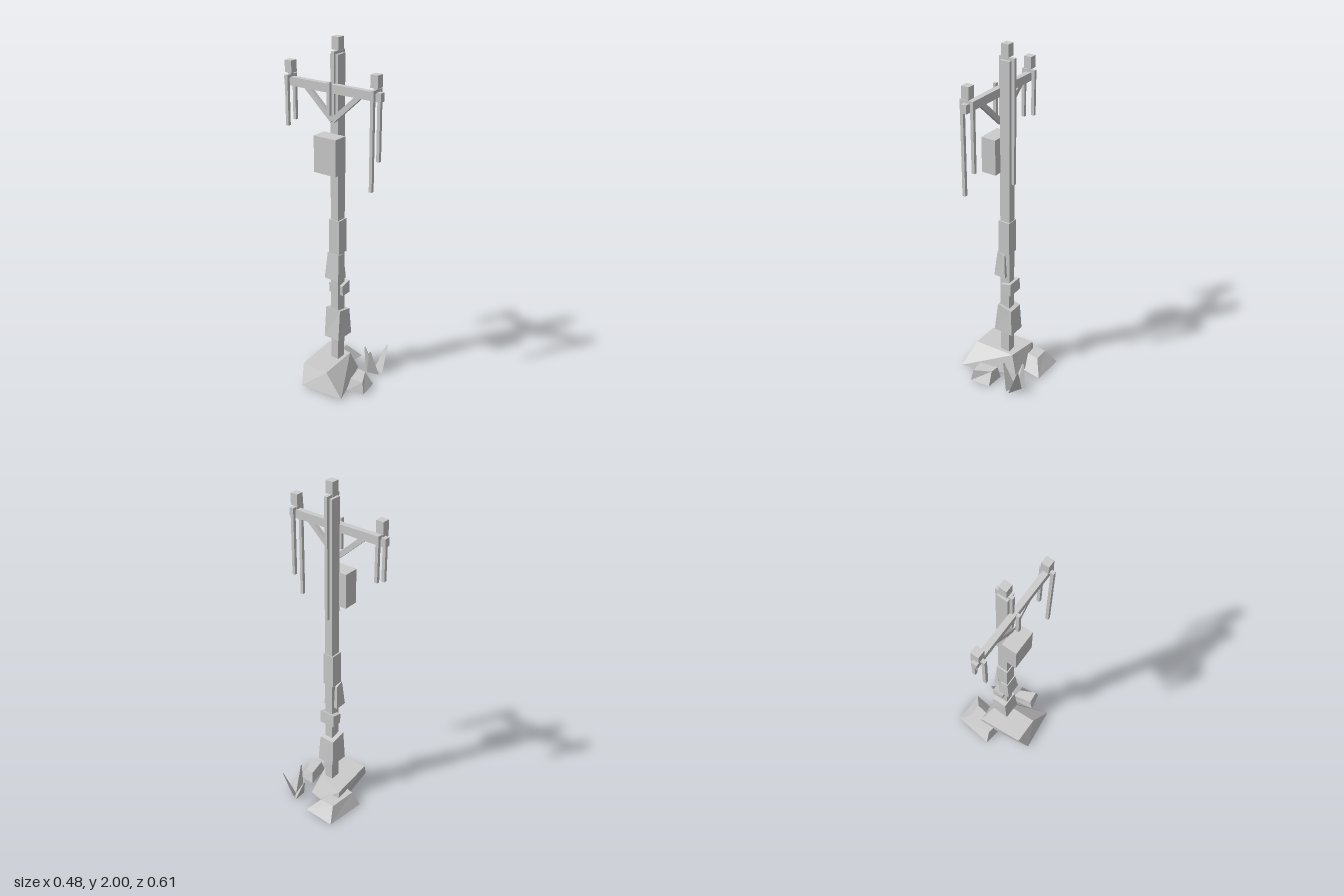
import * as THREE from 'three';

const material = new THREE.MeshStandardMaterial({ color: 0xcccccc, flatShading: true });

export function createModel() {
  const model = new THREE.Group();

  function add(name, geometry) {
    const mesh = new THREE.Mesh(geometry, material);
    mesh.name = name;
    model.add(mesh);
    return mesh;
  }

  // Box given by its extents along x, y and z
  function box(name, [x0, x1], [y0, y1], [z0, z1]) {
    const mesh = add(name, new THREE.BoxGeometry(x1 - x0, y1 - y0, z1 - z0));
    mesh.position.set((x0 + x1) / 2, (y0 + y1) / 2, (z0 + z1) / 2);
    return mesh;
  }

  // Closed faceted block between two rings of [x, z] corners,
  // ordered back left, front left, front right, back right; y may vary per corner
  function block(name, bottom, top, y0, y1) {
    const lift = (ring, y) => ring.map(([x, z, own = y]) => [x, own, z]);
    const b = lift(bottom, y0), t = lift(top, y1), n = b.length, pos = [];
    const tri = (...pts) => pts.forEach((p) => pos.push(...p));
    for (let i = 0; i < n; i++) {
      const j = (i + 1) % n;
      tri(b[i], b[j], t[j]);
      tri(b[i], t[j], t[i]);
      if (i > 0 && i < n - 1) {
        tri(t[0], t[i], t[j]);
        tri(b[0], b[j], b[i]);
      }
    }
    const geometry = new THREE.BufferGeometry();
    geometry.setAttribute('position', new THREE.Float32BufferAttribute(pos, 3));
    geometry.computeVertexNormals();
    return add(name, geometry);
  }

  // Pole, collar, crossarm and equipment box
  box('pole', [-0.03, 0.03], [0, 1.915], [-0.025, 0.025]);
  box('collar', [-0.036, 0.034], [0.81, 1.01], [-0.034, 0.034]);
  box('crossarm', [-0.061, -0.029], [1.722, 1.768], [-0.305, 0.305]);
  box('equipmentBox', [-0.115, -0.028], [1.3, 1.5], [-0.07, 0.07]);

  // Diagonal braces below the crossarm
  for (const side of [-1, 1]) {
    const from = new THREE.Vector2(0, 1.575), to = new THREE.Vector2(side * 0.175, 1.735);
    const brace = add('brace', new THREE.BoxGeometry(0.022, 0.028, from.distanceTo(to)));
    brace.position.set(-0.04, (from.y + to.y) / 2, to.x / 2);
    brace.rotation.x = -Math.atan2(to.y - from.y, to.x);
  }

  // Insulators on short stems
  for (const [x, y, z] of [[0, 1.935, 0], [-0.045, 1.79, -0.272], [-0.045, 1.79, 0.268]]) {
    box('insulator', [x - 0.022, x + 0.022], [y, y + 0.065], [z - 0.022, z + 0.022]);
    box('insulatorStem', [x - 0.01, x + 0.01], [y - 0.03, y], [z - 0.01, z + 0.01]);
  }

  // Hanging cables: x, z, top, bottom
  for (const [x, z, top, bottom] of [
    [-0.078, 0.27, 1.782, 1.255], [-0.016, 0.27, 1.782, 1.4],
    [-0.078, -0.27, 1.782, 1.51], [-0.016, -0.27, 1.782, 1.53],
    [-0.074, 0, 1.782, 1.61], [-0.036, 0, 1.93, 1.6], [0.04, 0, 1.93, 1.24],
  ]) {
    box('cable', [x - 0.009, x + 0.009], [bottom, top], [z - 0.009, z + 0.009]);
  }
  // Straps carrying the cables across the pole top and the crossarm
  box('poleTopStrap', [-0.045, 0.049], [1.912, 1.93], [-0.009, 0.009]);
  for (const z of [-0.27, 0.27]) {
    box('armStrap', [-0.087, -0.007], [1.764, 1.782], [z - 0.009, z + 0.009]);
  }

  // Irregular wrappings around the pole
  block('lowerWrap',
    [[-0.05, -0.058, 0.265], [-0.058, 0.047], [0.064, 0.05], [0.063, -0.056]],
    [[-0.037, -0.055, 0.455], [-0.037, 0.043, 0.455], [0.054, 0.043], [0.054, -0.05]], 0.272, 0.435);
  block('middleWrap',
    [[-0.012, -0.05], [-0.012, 0.045], [0.052, 0.045], [0.052, -0.053]],
    [[-0.015, -0.05, 0.605], [-0.015, 0.044, 0.605], [0.05, 0.044], [0.05, -0.05]], 0.545, 0.622);
  block('upperWrap',
    [[-0.058, -0.048], [-0.058, 0.046], [0.014, 0.046], [0.014, -0.048]],
    [[-0.042, -0.038, 0.812], [-0.042, 0.036, 0.812], [0.005, 0.036], [0.005, -0.038]], 0.655, 0.795);

  // Rocks around the foot
  block('mainRock',
    [[-0.24, -0.08], [-0.212, 0.182], [0.108, 0.072], [0.122, -0.005], [0.11, -0.132]],
    [[-0.183, -0.11], [-0.183, 0.055], [0.065, 0.043], [0.072, 0], [0.095, -0.132]], 0.015, 0.125);
  block('backRock',
    [[-0.003, -0.213], [-0.03, -0.02], [0.233, 0.01], [0.24, -0.182]],
    [[0.013, -0.165], [0.0, -0.085], [0.176, -0.06], [0.176, -0.148]], 0.005, 0.082);
  block('frontRock',
    [[-0.112, 0.148], [-0.09, 0.25], [0.03, 0.235], [0.038, 0.126]],
    [[-0.088, 0.158], [-0.08, 0.236], [0.016, 0.187], [0.022, 0.136]], 0.005, 0.076);

  // Splayed spikes sharing one root: two outer corners, tip and height
  const root = [0.165, 0.15];
  for (const [a, b, tip, height] of [
    [[0.205, 0.117], [0.128, 0.117], [0.165, 0.08], 0.13],
    [[0.11, 0.135], [0.132, 0.207], [0.09, 0.17], 0.168],
    [[0.155, 0.215], [0.196, 0.138], [0.213, 0.208], 0.17],
  ]) {
    const ring = [root, a, b];
    const small = ring.map(([x, z]) => [
      tip[0] + (x - (root[0] + a[0] + b[0]) / 3) * 0.12,
      tip[1] + (z - (root[1] + a[1] + b[1]) / 3) * 0.12,
    ]);
    block('spike', ring, small, 0, height);
  }

  return model;
}
